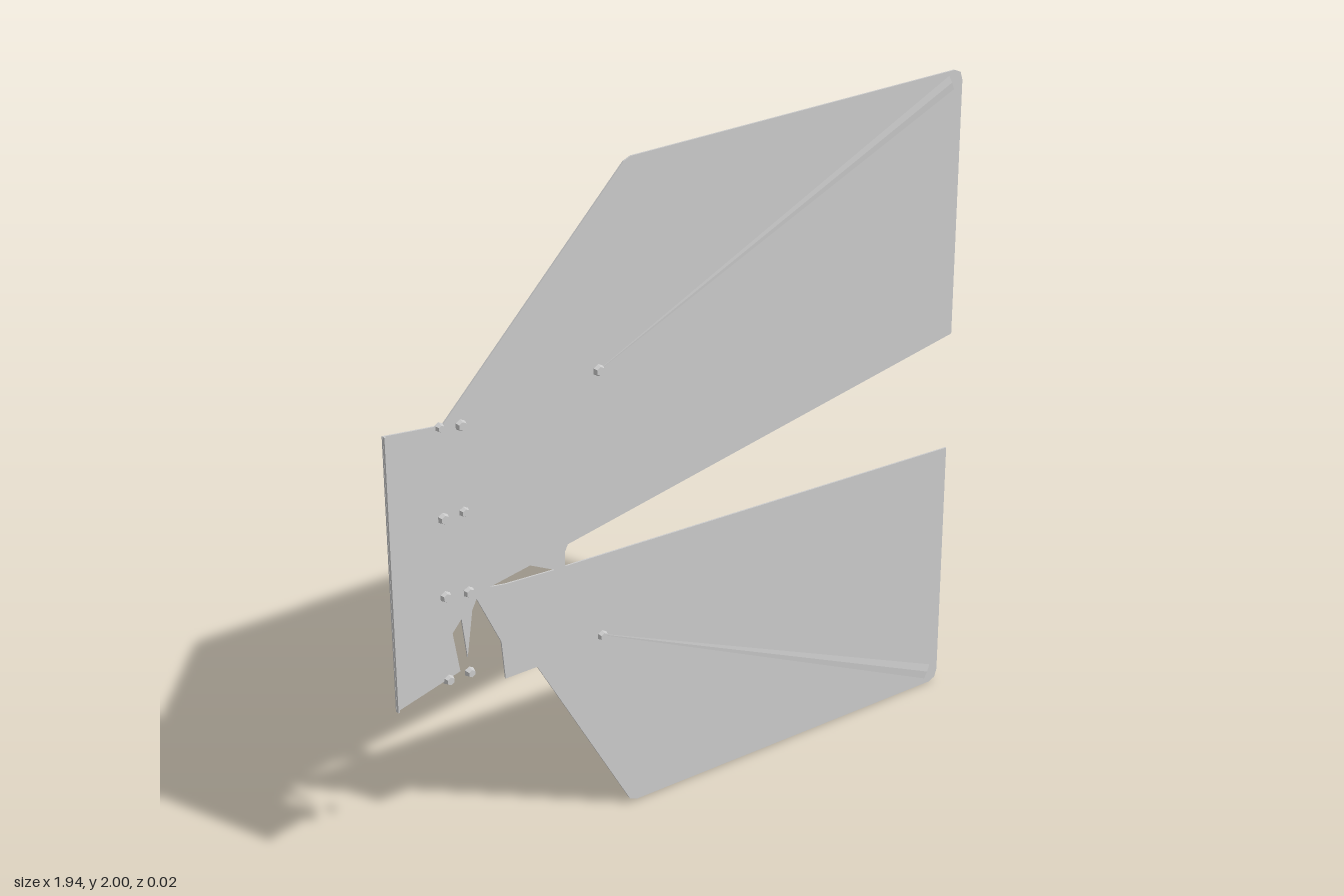
import * as THREE from 'three';

const material = new THREE.MeshStandardMaterial({ color: 0xcccccc, flatShading: true, side: THREE.DoubleSide });
const toPoints = (list) => list.map(([x, y]) => new THREE.Vector2(x, y));

// Thin plate cut from an outline, between two z values
function plate(name, outline, holes, z0, z1) {
  const shape = new THREE.Shape(toPoints(outline));
  holes.forEach((h) => shape.holes.push(new THREE.Path(toPoints(h))));
  const geometry = new THREE.ExtrudeGeometry(shape, { depth: z1 - z0, bevelEnabled: false });
  geometry.translate(0, 0, z0);
  const mesh = new THREE.Mesh(geometry, material);
  mesh.name = name;
  return mesh;
}

// Shallow pressed crease, diamond in section, widening from a to b
function crease(name, a, b, w0, w1, z) {
  const length = Math.hypot(b[0] - a[0], b[1] - a[1]);
  const geometry = new THREE.CylinderGeometry(w1, w0, length, 4, 1);
  geometry.scale(1, 1, 0.0025 / w1);
  const mesh = new THREE.Mesh(geometry, material);
  mesh.name = name;
  mesh.position.set((a[0] + b[0]) / 2, (a[1] + b[1]) / 2, z);
  mesh.rotation.z = Math.atan2(b[1] - a[1], b[0] - a[0]) - Math.PI / 2;
  return mesh;
}

export function createModel() {
  const group = new THREE.Group();
  group.name = 'splitPanel';

  // Both flaps and the hinge strip, joined by a torn neck
  const outline = [
    [-0.97, 1.415], [-0.97, 0.59], [-0.765, 0.645], [-0.785, 0.77], [-0.755, 0.805],
    [-0.74, 0.68], [-0.72, 0.82], [-0.705, 0.85], [-0.63, 0.69], [-0.62, 0.57], [-0.515, 0.57],
    [-0.205, 0.015], [-0.18, 0.005], [0.94, 0], [0.962, 0.01], [0.97, 0.035],
    [0.97, 0.805], [-0.415, 0.855], [-0.415, 0.9], [-0.405, 0.92], [0.97, 1.18],
    [0.97, 1.965], [0.962, 1.99], [0.94, 2], [-0.18, 2], [-0.205, 1.99], [-0.79, 1.395],
  ];
  const tear = [[-0.66, 0.872], [-0.53, 0.895], [-0.45, 0.855], [-0.61, 0.864]];
  group.add(plate('panel', outline, [tear], -0.008, -0.003));

  // Folded lip on the hinge edge
  const lip = new THREE.Mesh(new THREE.BoxGeometry(0.005, 0.825, 0.012), material);
  lip.name = 'hingeLip';
  lip.position.set(-0.967, 1.0025, -0.001);
  group.add(lip);

  // Creases running from each flap's rivet to its outer corners
  group.add(
    crease('upperCrease', [-0.29, 1.415], [0.93, 1.965], 0.008, 0.03, -0.0035),
    crease('lowerCrease', [-0.29, 0.595], [0.93, 0.04], 0.008, 0.03, -0.0035),
    crease('upperBackCrease', [-0.29, 1.415], [0.95, 1.36], 0.006, 0.03, -0.0075),
    crease('lowerBackCrease', [-0.29, 0.595], [0.93, 0.04], 0.006, 0.03, -0.0075),
    crease('upperEdgeCrease', [-0.29, 1.415], [-0.19, 1.95], 0.006, 0.025, -0.0075),
    crease('lowerEdgeCrease', [-0.29, 0.595], [-0.19, 0.06], 0.006, 0.025, -0.0075),
  );

  // Rivets: x, y, radius
  const rivets = [
    [-0.295, 1.415, 0.019], [-0.295, 0.595, 0.017],
    [-0.735, 1.38, 0.018], [-0.8, 1.125, 0.018], [-0.735, 1.125, 0.016],
    [-0.803, 0.89, 0.018], [-0.73, 0.88, 0.018], [-0.803, 0.632, 0.017],
    [-0.735, 0.632, 0.016], [-0.8, 1.392, 0.014],
  ];
  rivets.forEach(([x, y, r], i) => {
    const rivet = new THREE.Mesh(new THREE.CylinderGeometry(r * 0.7, r, 0.015, 6), material);
    rivet.name = `rivet${i + 1}`;
    rivet.rotation.x = Math.PI / 2;
    rivet.position.set(x, y, 0.0015);
    group.add(rivet);
  });

  return group;
}
